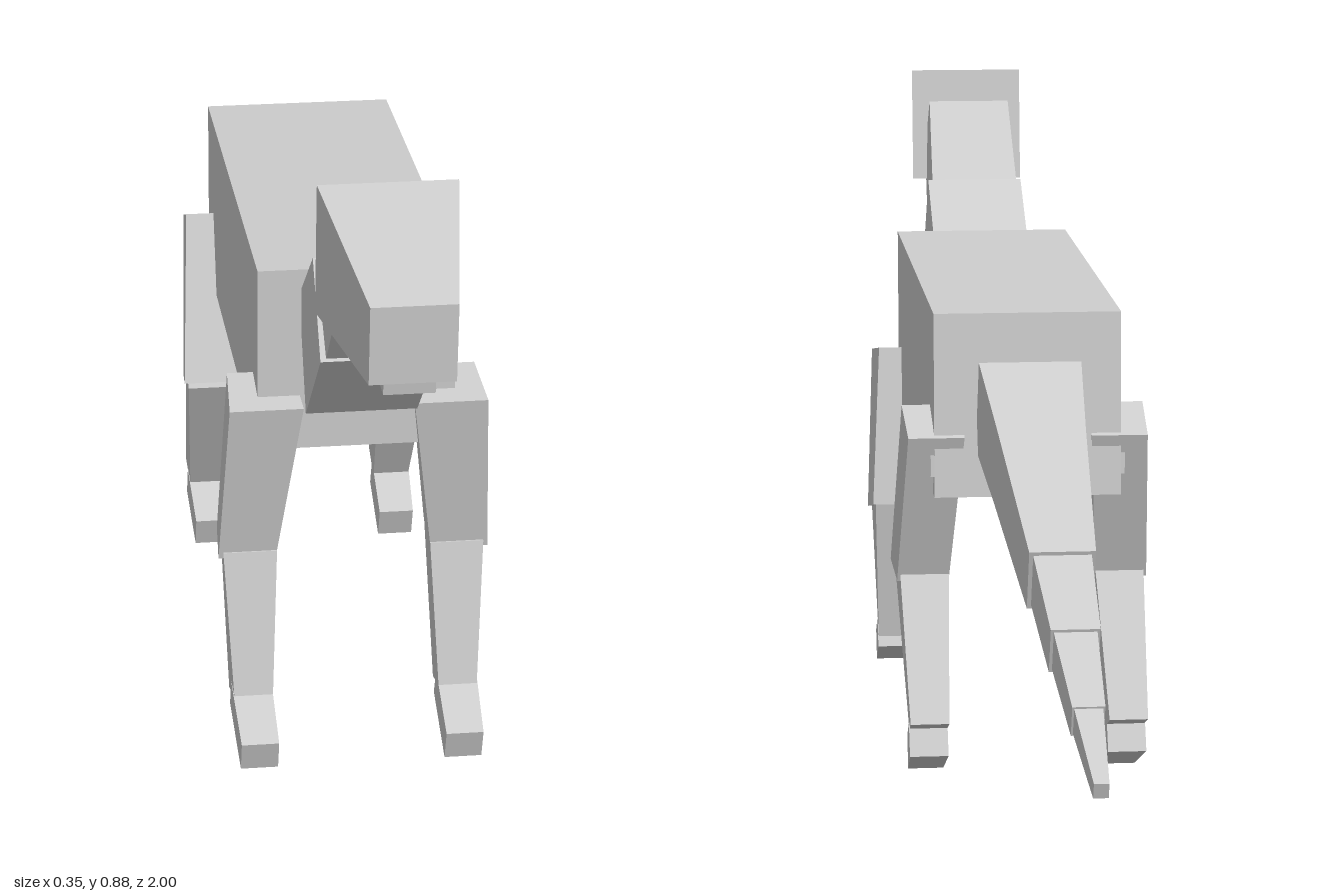
import * as THREE from 'three';

const grey = new THREE.MeshStandardMaterial({ color: 0xcccccc });
grey.name = 'lightGrey';

// Six-sided block. Corners run front-top, front-bottom, back-bottom, back-top;
// each is [z, y, xMin, xMax].
function block(name, [ft, fb, bb, bt]) {
  const geo = new THREE.BoxGeometry(1, 1, 1);
  const p = geo.attributes.position;
  for (let i = 0; i < p.count; i++) {
    const top = p.getY(i) > 0;
    const c = p.getZ(i) > 0 ? (top ? ft : fb) : (top ? bt : bb);
    p.setXYZ(i, p.getX(i) > 0 ? c[3] : c[2], c[1], c[0]);
  }
  geo.computeVertexNormals();
  const mesh = new THREE.Mesh(geo, grey);
  mesh.name = name;
  return mesh;
}

// Block centred on x = 0; corners are [z, y, halfWidth].
const centred = (name, corners) =>
  block(name, corners.map(([z, y, w]) => [z, y, -w, w]));

// Leg of three blocks on one side (+1 left, -1 right).
function leg(name, side, parts) {
  const g = new THREE.Group();
  g.name = name;
  for (const [part, corners] of Object.entries(parts)) {
    g.add(block(part, corners.map(([z, y, a, b]) => side > 0 ? [z, y, a, b] : [z, y, -b, -a])));
  }
  return g;
}

const frontLeg = {
  upperLeg: [[0.524, 0.485, 0.07, 0.163], [0.47, 0.256, 0.1, 0.174], [0.406, 0.27, 0.1, 0.17], [0.437, 0.5, 0.075, 0.158]],
  lowerLeg: [[0.474, 0.265, 0.099, 0.168], [0.503, 0.072, 0.108, 0.158], [0.452, 0.06, 0.108, 0.16], [0.41, 0.27, 0.1, 0.166]],
  foot: [[0.577, 0.042, 0.108, 0.156], [0.562, 0, 0.108, 0.156], [0.462, 0.042, 0.108, 0.16], [0.48, 0.083, 0.108, 0.16]],
};
const hindLeg = {
  upperLeg: [[-0.102, 0.505, 0.085, 0.163], [-0.03, 0.28, 0.1, 0.174], [-0.098, 0.263, 0.1, 0.17], [-0.182, 0.473, 0.085, 0.16]],
  lowerLeg: [[-0.035, 0.27, 0.1, 0.168], [-0.15, 0.066, 0.108, 0.158], [-0.202, 0.088, 0.108, 0.16], [-0.1, 0.275, 0.1, 0.166]],
  foot: [[-0.08, 0.042, 0.108, 0.156], [-0.096, 0, 0.108, 0.156], [-0.187, 0.04, 0.108, 0.16], [-0.168, 0.083, 0.108, 0.16]],
};

// Tapered tail sections with a small step at each joint.
function tail() {
  const g = new THREE.Group();
  g.name = 'tail';
  const stops = [0, 0.18, 0.49, 0.67, 0.84, 1];
  const ring = (t, k) => {
    const z = -0.181 - 0.817 * t, y = 0.515 - 0.308 * t;
    const h = (0.066 - 0.056 * t) * k, w = (0.068 - 0.059 * t) * k;
    return [[z - 0.35 * h, y + 0.94 * h, w], [z + 0.35 * h, y - 0.94 * h, w]];
  };
  for (let i = 0; i < 5; i++) {
    const [ft, fb] = ring(stops[i], i > 1 ? 0.93 : 1);
    const [bt, bb] = ring(stops[i + 1], i > 0 && i < 4 ? 1.06 : 1);
    g.add(centred('tailSection' + (i + 1), [ft, fb, bb, bt]));
  }
  return g;
}

export function createModel() {
  const model = new THREE.Group();
  model.name = 'quadruped';
  model.add(
    centred('body', [[0.502, 0.664, 0.125], [0.49, 0.416, 0.125], [-0.178, 0.392, 0.125], [-0.17, 0.638, 0.125]]),
    centred('lowerNeck', [[0.62, 0.727, 0.07], [0.7, 0.625, 0.07], [0.545, 0.488, 0.07], [0.475, 0.62, 0.07]]),
    centred('upperNeck', [[0.717, 0.837, 0.06], [0.81, 0.755, 0.06], [0.706, 0.632, 0.064], [0.61, 0.714, 0.064]]),
    centred('head', [[1, 0.82, 0.05], [0.99, 0.722, 0.05], [0.755, 0.714, 0.083], [0.772, 0.88, 0.083]]),
    centred('jaw', [[0.968, 0.724, 0.03], [0.963, 0.697, 0.03], [0.775, 0.722, 0.035], [0.78, 0.75, 0.035]]),
    // Thin bar joining the hips
    centred('hipBar', [[-0.145, 0.448, 0.13], [-0.145, 0.42, 0.13], [-0.176, 0.42, 0.13], [-0.176, 0.448, 0.13]]),
    tail(),
  );
  for (const side of [1, -1]) {
    const s = side > 0 ? 'left' : 'right';
    model.add(leg(s + 'FrontLeg', side, frontLeg), leg(s + 'HindLeg', side, hindLeg));
  }
  return model;
}
